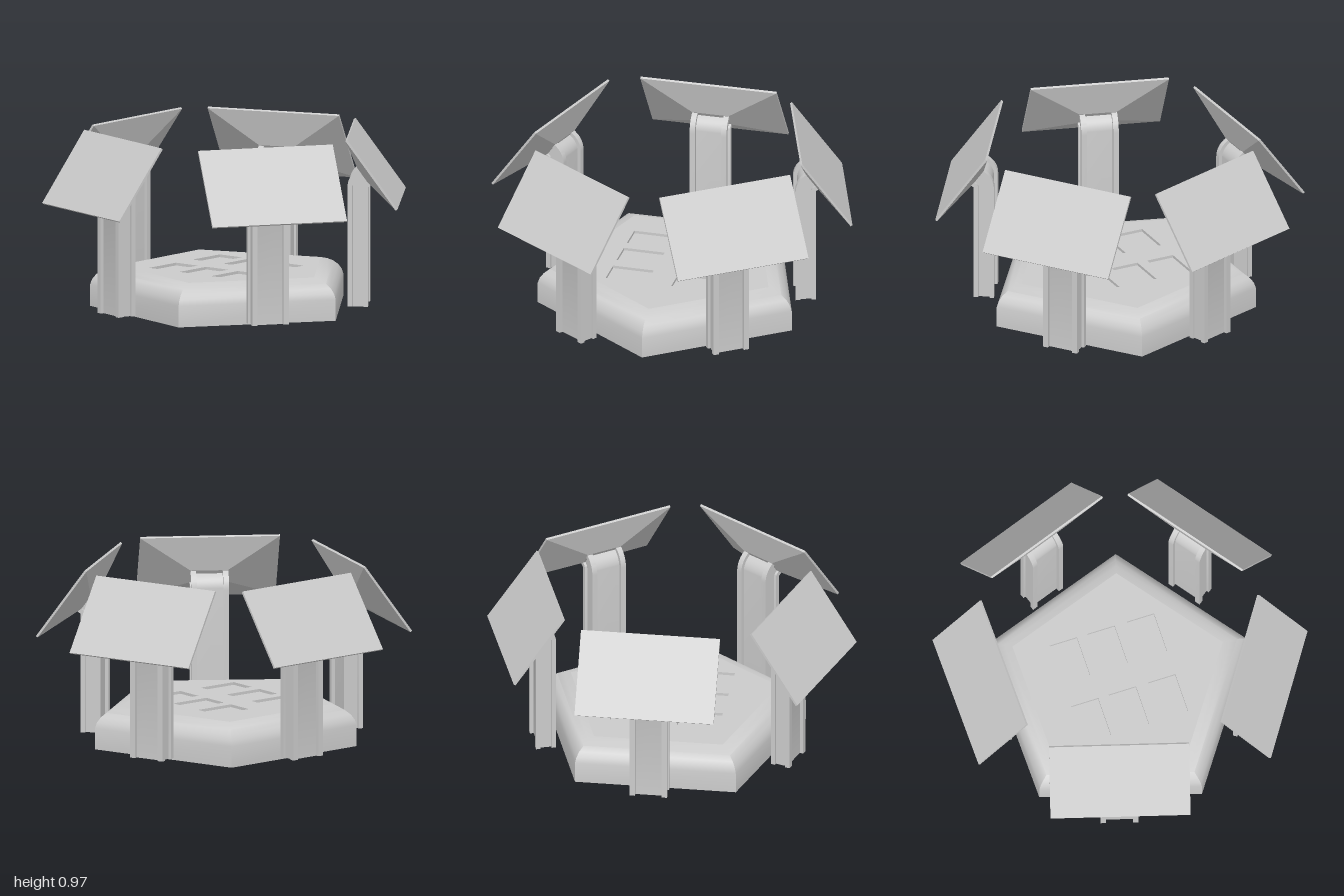
import * as THREE from 'three';
import { toCreasedNormals } from 'three/addons/utils/BufferGeometryUtils.js';

const grey = new THREE.MeshStandardMaterial({ color: 0xcccccc });
const greyOpen = new THREE.MeshStandardMaterial({ color: 0xcccccc, side: THREE.DoubleSide });

// Skins a stack of closed rings (counter-clockwise seen from the end of the stack)
function loft(rings, crease, caps = true) {
  const pos = [];
  const tri = (a, b, c) => pos.push(...a, ...b, ...c);
  const n = rings[0].length;
  for (let i = 0; i < rings.length - 1; i++) {
    for (let j = 0; j < n; j++) {
      const k = (j + 1) % n;
      tri(rings[i][j], rings[i][k], rings[i + 1][k]);
      tri(rings[i][j], rings[i + 1][k], rings[i + 1][j]);
    }
  }
  if (caps) {
    const first = rings[0], last = rings[rings.length - 1];
    for (let j = 1; j < n - 1; j++) {
      tri(first[0], first[j + 1], first[j]);
      tri(last[0], last[j], last[j + 1]);
    }
  }
  const g = new THREE.BufferGeometry();
  g.setAttribute('position', new THREE.Float32BufferAttribute(pos, 3));
  g.computeVertexNormals();
  return toCreasedNormals(g, crease);
}

function add(parent, name, geometry, material = grey) {
  const mesh = new THREE.Mesh(geometry, material);
  mesh.name = name;
  parent.add(mesh);
  return mesh;
}

// Five-sided platform outline, scaled about its middle
const corners = [[0.705, -0.02], [0.18, -0.71], [-0.645, -0.43], [-0.63, 0.44], [0.205, 0.695]];
const outline = s => corners.map(([x, z]) => [-0.037 + (x + 0.037) * s, -0.005 + (z + 0.005) * s]);

function platform() {
  const group = new THREE.Group();
  group.name = 'platform';

  // Body with a rounded shoulder; its last ring is the floor of the pockets
  const profile = [[1, 0], [1, 0.115], [0.985, 0.145], [0.955, 0.172], [0.91, 0.195], [0.86, 0.21], [0.8, 0.22], [0.799, 0.205]];
  add(group, 'platformBody', loft(profile.map(([s, y]) => outline(s).map(([x, z]) => [x, y, z])), 0.7));

  // Top plate with six rectangular pockets
  const shape = new THREE.Shape(outline(0.8).map(([x, z]) => new THREE.Vector2(x, -z)));
  for (const x of [-0.255, -0.042, 0.18]) {
    for (const z of [-0.175, 0.19]) {
      const w = 0.077, h = 0.113;
      shape.holes.push(new THREE.Path([
        new THREE.Vector2(x - w, -z - h), new THREE.Vector2(x - w, -z + h),
        new THREE.Vector2(x + w, -z + h), new THREE.Vector2(x + w, -z - h),
      ]));
    }
  }
  const plate = new THREE.ExtrudeGeometry(shape, { depth: 0.015, bevelEnabled: false });
  plate.rotateX(-Math.PI / 2).translate(0, 0.205, 0);
  add(group, 'pocketedTop', plate);
  return group;
}

const TILT = 0.625; // panel normal above the horizon

// Thin slab whose back tapers to the neck of the post
function panelGeometry() {
  const rect = (w, h, z) => [[-w, -h, z], [w, -h, z], [w, h, z], [-w, h, z]];
  const g = loft([rect(0.1, 0.046, -0.085), rect(0.376, 0.231, -0.012), rect(0.376, 0.231, 0)], 0.2);
  return g.rotateX(-TILT).translate(0, 0.7825, 0);
}

// Ribbed post, swept straight up and then bent outward into the panel
function postGeometry() {
  const half = [[0.072, 0.02], [0.072, 0], [0.102, 0], [0.102, 0.025], [0.088, 0.025],
    [0.088, 0.085], [0.102, 0.085], [0.102, 0.11], [0.072, 0.11], [0.072, 0.09]];
  const section = [...half, ...half.map(([w, s]) => [-w, s]).reverse()];
  const ring = (phi, along) => section.map(([w, s]) => [
    w,
    0.67 + s * Math.sin(phi) + along * Math.cos(phi),
    -0.04 - s * Math.cos(phi) + along * Math.sin(phi),
  ]);
  const bend = Math.PI / 2 - TILT, steps = 10;
  const rings = [ring(0, -0.65)];
  for (let i = 0; i <= steps; i++) rings.push(ring(bend * i / steps, 0));
  rings.push(ring(bend, 0.045));
  return loft(rings, 0.5, false);
}

export function createModel() {
  const model = new THREE.Group();
  model.name = 'pavilion';
  model.add(platform());

  // Panel centre x, z and outward heading in degrees
  const stands = [[-0.82, -0.012, 179], [-0.283, -0.754, -109.4], [0.588, -0.5, -36.6],
    [0.646, 0.435, 33.4], [-0.28, 0.759, 106.6]];
  const panel = panelGeometry(), post = postGeometry();
  for (const [x, z, heading] of stands) {
    const stand = new THREE.Group();
    stand.name = 'panelStand';
    stand.position.set(x, 0, z);
    stand.rotation.y = THREE.MathUtils.degToRad(90 - heading);
    add(stand, 'slopedPanel', panel);
    add(stand, 'post', post, greyOpen);
    model.add(stand);
  }
  return model;
}
